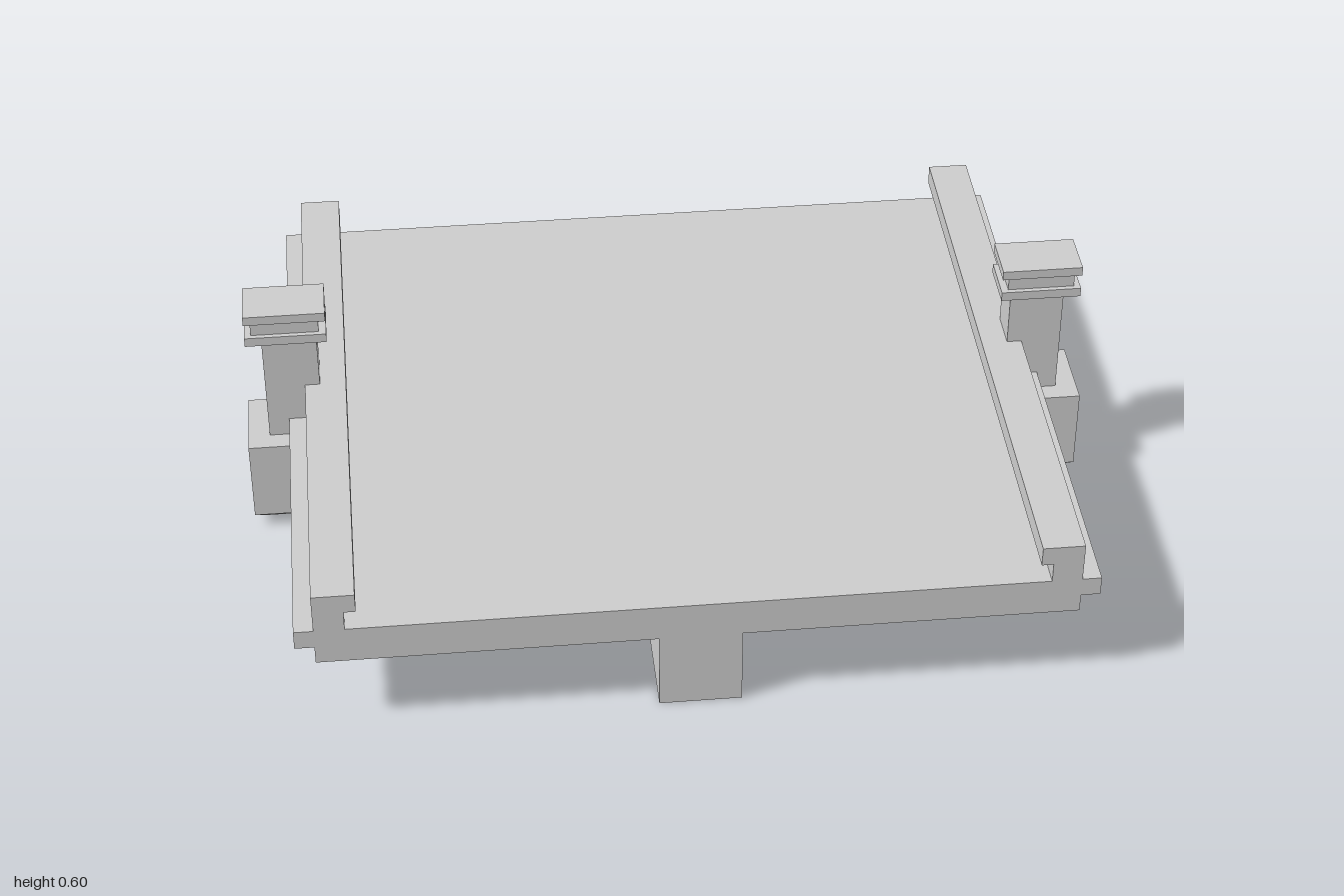
import * as THREE from 'three';

const material = new THREE.MeshStandardMaterial({ color: 0xcccccc, flatShading: true });

function add(parent, name, geometry) {
  const mesh = new THREE.Mesh(geometry, material);
  mesh.name = name;
  parent.add(mesh);
  return mesh;
}

// Box given by its limits on each axis
function box(parent, name, [x0, x1], [y0, y1], [z0, z1]) {
  const mesh = add(parent, name, new THREE.BoxGeometry(x1 - x0, y1 - y0, z1 - z0));
  mesh.position.set((x0 + x1) / 2, (y0 + y1) / 2, (z0 + z1) / 2);
  return mesh;
}

export function createModel() {
  const model = new THREE.Group();
  model.name = 'deckSection';
  const halfLength = 0.763;

  // Deck with side ledges, hooked rails and central keel, as one mirrored profile
  const half = [
    [0.094, 0], [0.094, 0.195], [0.856, 0.195], [0.856, 0.24], [0.9, 0.24], [0.9, 0.287],
    [0.856, 0.287], [0.856, 0.384], [0.76, 0.384], [0.76, 0.336], [0.787, 0.336], [0.787, 0.287],
  ];
  const mirrored = half.map(([x, y]) => [-x, y]).reverse();
  const profile = new THREE.Shape([...half, ...mirrored].map(([x, y]) => new THREE.Vector2(x, y)));
  const deck = new THREE.ExtrudeGeometry(profile, { depth: 2 * halfLength, bevelEnabled: false });
  deck.translate(0, 0, -halfLength);
  add(model, 'deck', deck);

  // Beam under the deck joining the two posts
  const postZ = [-0.095, 0];
  const midZ = -0.0475;
  box(model, 'crossBeam', [-0.82, 0.82], [0.052, 0.145], postZ);

  // Post on each side: tapered foot, block, shaft and stepped cap
  for (const side of [1, -1]) {
    const post = new THREE.Group();
    post.name = side > 0 ? 'leftPost' : 'rightPost';
    const span = (a, b) => (side > 0 ? [a, b] : [-b, -a]);

    const foot = new THREE.CylinderGeometry(0.188 / Math.SQRT2, 0.14 / Math.SQRT2, 0.022, 4);
    foot.rotateY(Math.PI / 4);
    add(post, 'foot', foot).position.set(side * 0.906, 0.025, midZ);

    box(post, 'block', span(0.812, 1), [0.036, 0.241], [midZ - 0.094, midZ + 0.094]);
    box(post, 'shaft', span(0.821, 0.949), [0.241, 0.515], postZ);
    box(post, 'lowerCap', span(0.797, 0.987), [0.515, 0.538], [midZ - 0.059, midZ + 0.059]);
    box(post, 'neck', span(0.814, 0.972), [0.538, 0.575], postZ);
    box(post, 'upperCap', span(0.797, 0.987), [0.575, 0.598], [midZ - 0.059, midZ + 0.059]);
    model.add(post);
  }
  return model;
}
